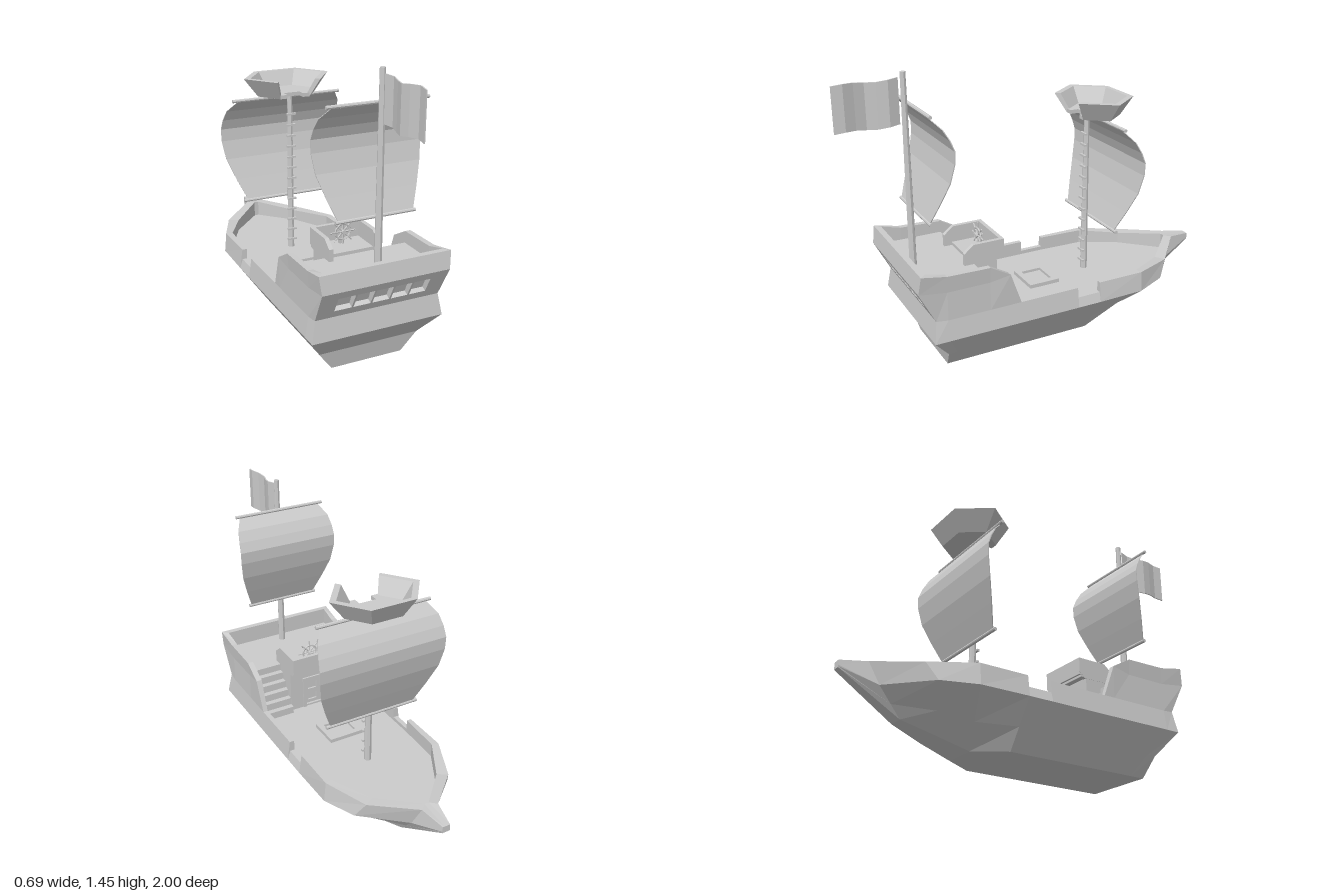
import * as THREE from 'three';

const mat = new THREE.MeshStandardMaterial({ color: 0xcccccc, flatShading: true });
const shell = new THREE.MeshStandardMaterial({ color: 0xcccccc, flatShading: true, side: THREE.DoubleSide });

function add(parent, name, geo, x = 0, y = 0, z = 0, material = mat) {
  const m = new THREE.Mesh(geo, material);
  m.name = name;
  m.position.set(x, y, z);
  parent.add(m);
  return m;
}
// Box given by its limits
function box(parent, name, x0, x1, y0, y1, z0, z1) {
  return add(parent, name, new THREE.BoxGeometry(x1 - x0, y1 - y0, z1 - z0),
    (x0 + x1) / 2, (y0 + y1) / 2, (z0 + z1) / 2);
}
const path = (pts, C = THREE.Shape) => new C(pts.map(p => new THREE.Vector2(...p)));
const rect = (x0, x1, y0, y1) => [[x0, y0], [x1, y0], [x1, y1], [x0, y1]];
const extrude = (shape, depth) => new THREE.ExtrudeGeometry(shape, { depth, bevelEnabled: false });
const mirror = p => [-p[0], p[1], p[2]];

// Flat-shaded geometry from quads, leaving out collapsed triangles
function quadGeometry(quads) {
  const pos = [];
  const tri = new THREE.Triangle();
  for (const [a, b, c, d] of quads) {
    for (const t of [[a, b, c], [a, c, d]]) {
      tri.set(...t.map(p => new THREE.Vector3(...p)));
      if (tri.getArea() > 1e-7) pos.push(...t.flat());
    }
  }
  const g = new THREE.BufferGeometry();
  g.setAttribute('position', new THREE.Float32BufferAttribute(pos, 3));
  g.computeVertexNormals();
  return g;
}

const DECK = 0.25, UPPER = 0.488;

// Half section: keel, bilge, chine, wale, upper side, rail outside, rail inside, deck edge
function section(keel, chine, wale, rail, inner, deckY = DECK, bilge, upper) {
  bilge = bilge || keel.map((v, i) => v + (chine[i] - v) * 0.45);
  return [keel, bilge, chine, wale, upper || rail, rail, inner, [inner[0], deckY, inner[2]]];
}
function midSection(z, top, keelZ = z) {
  const wale = [0.33, Math.min(top, 0.325), z];
  const rail = top > 0.33 ? [0.335, top, z] : wale;
  const upper = top > 0.5 ? [0.328, 0.47, z] : rail;
  return section([0.19, 0, keelZ], [0.345, 0.22, z], wale, rail, [0.305, top, z], DECK, null, upper);
}

function buildHull(parent) {
  const bow = deckY => section([0.04, 0.1, -0.7], [0.065, 0.228, -0.82], [0.045, 0.335, -0.87],
    [0.045, 0.335, -0.87], [0.012, 0.335, -0.84], deckY);
  const halves = [
    section([0.19, 0, 0.58], [0.345, 0.22, 0.695], [0.325, 0.33, 0.68], [0.34, 0.58, 0.75],
      [0.31, 0.58, 0.72], UPPER - 0.01, [0.265, 0.1, 0.6], [0.33, 0.49, 0.763]),
    midSection(0.62, 0.555, 0.5), midSection(0.4, 0.55), midSection(0.295, 0.49), midSection(0.235, 0.325),
    midSection(-0.085, 0.325), midSection(-0.085, 0.27), midSection(-0.215, 0.27), midSection(-0.215, 0.325),
    section([0.09, 0, -0.37], [0.34, 0.22, -0.47], [0.33, 0.325, -0.47], [0.33, 0.325, -0.47], [0.295, 0.325, -0.46]),
    section([0.07, 0.05, -0.54], [0.27, 0.225, -0.64], [0.235, 0.311, -0.69], [0.235, 0.311, -0.69], [0.185, 0.311, -0.66]),
    bow(DECK), bow(0.335),
    section([0.02, 0.285, -1], [0.022, 0.295, -1], [0.02, 0.32, -1], [0.02, 0.32, -1], [0.01, 0.32, -1], 0.32),
  ];
  const rings = halves.map(h => [...h, ...h.map(mirror).reverse()]);
  const quads = [];
  for (let i = 0; i + 1 < rings.length; i++) {
    const a = rings[i], b = rings[i + 1];
    a.forEach((p, j) => {
      const k = (j + 1) % a.length;
      quads.push([p, b[j], b[k], a[k]]);
    });
  }
  // Transom bands (the window band is a separate panel) and bow tip
  const stern = halves[0], tip = halves[halves.length - 1];
  for (let k = 0; k < 7; k++) {
    if (k !== 3) quads.push([mirror(stern[k]), stern[k], stern[k + 1], mirror(stern[k + 1])]);
    if (k < 5) quads.push([tip[k], mirror(tip[k]), mirror(tip[k + 1]), tip[k + 1]]);
  }
  add(parent, 'hull', quadGeometry(quads), 0, 0, 0, shell);

  // Leaning window panel in the transom
  const panel = path([[-0.325, 0], [0.325, 0], [0.33, 0.18], [-0.33, 0.18]]);
  for (let i = -2; i <= 2; i++) {
    const c = i * 0.0975;
    panel.holes.push(path(rect(c - 0.044, c + 0.044, 0.045, 0.135), THREE.Path));
  }
  const windows = new THREE.Group();
  windows.name = 'sternWindows';
  windows.position.set(0, 0.33, 0.68);
  windows.rotation.x = Math.atan2(0.083, 0.16);
  parent.add(windows);
  add(windows, 'windowPanel', extrude(panel, 0.03), 0, 0, -0.03);
  box(windows, 'windowBack', -0.27, 0.27, 0.02, 0.16, -0.034, -0.029);
}

function buildCabin(parent) {
  box(parent, 'upperDeck', -0.31, 0.31, UPPER - 0.03, UPPER, 0.4, 0.725);
  box(parent, 'upperDeckWall', -0.31, 0.31, DECK, UPPER - 0.03, 0.4, 0.42);
  box(parent, 'cabinBody', -0.14, 0.14, DECK, UPPER, 0.3, 0.41);
  const front = path(rect(-0.14, 0.14, DECK, 0.5));
  front.holes.push(path(rect(-0.05, 0.05, DECK + 0.01, 0.42), THREE.Path));
  add(parent, 'cabinFront', extrude(front, 0.025), 0, 0, 0.277);
  // Door frame and door bars
  for (const s of [-1, 1]) {
    box(parent, 'doorPost', s * 0.056 - 0.009, s * 0.056 + 0.009, DECK, 0.43, 0.27, 0.28);
    box(parent, 'doorStile', s * 0.038 - 0.012, s * 0.038 + 0.012, DECK, 0.42, 0.29, 0.302);
  }
  box(parent, 'doorLintel', -0.07, 0.07, 0.42, 0.438, 0.268, 0.28);
  for (const y of [0.265, 0.335, 0.405]) box(parent, 'doorRail', -0.04, 0.04, y - 0.014, y + 0.014, 0.29, 0.302);
  // Helm balcony and its rails
  box(parent, 'helmFloor', -0.14, 0.14, UPPER, 0.505, 0.245, 0.41);
  box(parent, 'helmRail', -0.14, 0.14, 0.5, 0.59, 0.235, 0.255);
  const side = path([[-0.235, 0.515], [-0.265, 0.485], [-0.45, 0.485], [-0.45, 0.55], [-0.4, 0.59], [-0.235, 0.59]]);
  for (const s of [-1, 1]) {
    const m = add(parent, 'helmSideRail', extrude(side, 0.022), s * 0.13 - 0.011);
    m.rotation.y = Math.PI / 2;
    // Stairs beside the cabin
    for (let i = 0; i < 5; i++) {
      box(parent, 'stair', s * 0.225 - 0.085, s * 0.225 + 0.085, DECK, DECK + 0.04 * (i + 1), 0.25 + 0.03 * i, 0.4);
    }
  }
  // Steering wheel on a post
  const wheel = new THREE.Group();
  wheel.name = 'steeringWheel';
  wheel.position.set(0, 0.57, 0.315);
  parent.add(wheel);
  add(wheel, 'wheelRim', new THREE.TorusGeometry(0.04, 0.005, 5, 16));
  const hub = add(wheel, 'wheelHub', new THREE.CylinderGeometry(0.011, 0.011, 0.03, 8));
  hub.rotation.x = Math.PI / 2;
  for (let i = 0; i < 4; i++) {
    add(wheel, 'wheelSpoke', new THREE.CylinderGeometry(0.004, 0.004, 0.136, 5)).rotation.z = i * Math.PI / 4;
  }
  box(parent, 'wheelPost', -0.012, 0.012, 0.5, 0.575, 0.288, 0.307);
}

// Sail profile from top to foot: height share, belly share, width share
const SAIL = [[0, 0, 0.83], [0.1, 0.5, 0.95], [0.2, 0.8, 0.985], [0.3, 1, 1],
  [0.42, 0.98, 0.995], [0.6, 0.78, 0.95], [0.8, 0.4, 0.83], [1, 0, 0.69]];

function buildSail(parent, name, top, foot, z, half, yardTop, yardFoot) {
  const rows = SAIL.length - 1;
  const g = new THREE.BoxGeometry(2, 1, 0.005, 1, rows, 1);
  const p = g.attributes.position;
  for (let i = 0; i < p.count; i++) {
    const [t, belly, w] = SAIL[Math.round((0.5 - p.getY(i)) * rows)];
    p.setXYZ(i, p.getX(i) * half * w, top + (foot - top) * t, p.getZ(i) + z - 0.1 * belly);
  }
  g.computeVertexNormals();
  add(parent, name, g);
  for (const [y, len] of [[top + 0.008, yardTop], [foot - 0.005, yardFoot]]) {
    add(parent, name + 'Yard', new THREE.CylinderGeometry(0.009, 0.009, len * 2, 8), 0, y, z).rotation.z = Math.PI / 2;
  }
}

function buildCrowsNest(parent) {
  const nest = new THREE.Group();
  nest.name = 'crowsNest';
  nest.position.set(0, 1.12, -0.353);
  parent.add(nest);
  const corner = (k, s, y) => {
    const a = k * Math.PI / 3;
    return [Math.cos(a) * 0.243 * s, y, Math.sin(a) * 0.187 * s];
  };
  // Five flared walls, open towards the ladder
  const quads = [];
  const loop = k => [corner(k, 0.68, 0), corner(k, 1, 0.1), corner(k, 0.85, 0.1), corner(k, 0.62, 0.02)];
  for (let k = 2; k < 7; k++) {
    const a = loop(k), b = loop(k + 1);
    for (let j = 0; j < 4; j++) quads.push([a[j], a[(j + 1) % 4], b[(j + 1) % 4], b[j]]);
  }
  quads.push(loop(2).reverse(), loop(7));
  add(nest, 'nestWalls', quadGeometry(quads), 0, 0, 0, shell);
  // Floor with a notch for the ladder
  const edge = [2, 3, 4, 5, 6, 7].map(k => corner(k, 0.68, 0)).map(p => [p[0], p[2]]);
  const floor = path([...edge, [0.045, 0.11], [0.045, 0.065], [-0.045, 0.065], [-0.045, 0.11]]);
  add(nest, 'nestFloor', extrude(floor, 0.02), 0, 0.02).rotation.x = Math.PI / 2;
}

function buildRigging(parent) {
  const mast = (name, y0, y1, z) =>
    add(parent, name, new THREE.CylinderGeometry(0.014, 0.019, y1 - y0, 8), 0, (y0 + y1) / 2, z);
  mast('foreMast', DECK, 1.13, -0.315);
  mast('sternMast', UPPER, 1.45, 0.665);
  for (let y = 0.3; y < 1.08; y += 0.06) box(parent, 'ladderRung', -0.025, 0.025, y - 0.005, y + 0.005, -0.305, -0.291);
  buildSail(parent, 'foreSail', 1.1, 0.555, -0.35, 0.345, 0.31, 0.26);
  buildSail(parent, 'sternSail', 1.285, 0.77, 0.638, 0.28, 0.255, 0.205);
  buildCrowsNest(parent);

  // Waving flag
  const g = new THREE.BoxGeometry(0.006, 0.22, 0.31, 1, 1, 6);
  const p = g.attributes.position;
  for (let i = 0; i < p.count; i++) {
    const t = (p.getZ(i) + 0.155) / 0.31;
    p.setX(i, p.getX(i) + Math.sin(t * 9) * 0.013);
    p.setY(i, p.getY(i) + Math.sin(t * 8 + 1.5) * 0.006);
  }
  g.computeVertexNormals();
  add(parent, 'flag', g, 0, 1.31, 0.845);
}

function buildHatch(parent) {
  const frame = path(rect(-0.098, 0.098, -0.085, 0.085));
  frame.holes.push(path(rect(-0.065, 0.065, -0.055, 0.055), THREE.Path));
  add(parent, 'hatchFrame', extrude(frame, 0.022), 0, DECK + 0.02, -0.02).rotation.x = Math.PI / 2;
  box(parent, 'hatchCover', -0.066, 0.066, DECK - 0.01, DECK + 0.006, -0.076, 0.036);
}

export function createModel() {
  const ship = new THREE.Group();
  ship.name = 'sailingShip';
  buildHull(ship);
  buildCabin(ship);
  buildHatch(ship);
  buildRigging(ship);
  return ship;
}
